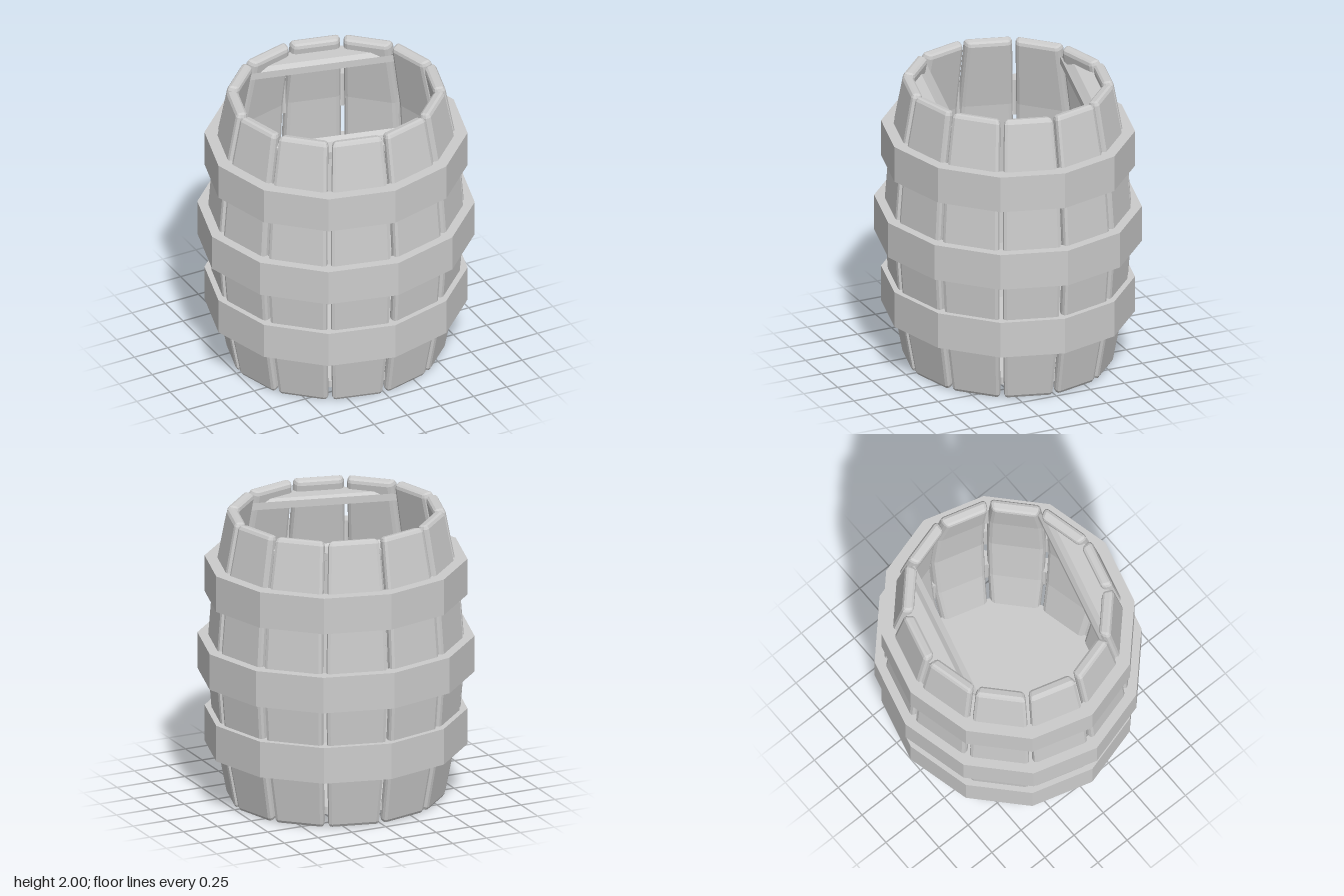
import * as THREE from 'three';

const material = new THREE.MeshStandardMaterial({ color: 0xcccccc, flatShading: true });
const SIDES = 12;
const STEP = (Math.PI * 2) / SIDES;
const DEPTH = 0.942; // the plan is an ellipse, narrower from front to back

// Skin a row of equal-sized point rings and close both ends with fans.
function loft(rings) {
  const n = rings[0].length, pos = [], idx = [];
  rings.forEach(ring => ring.forEach(p => pos.push(...p)));
  for (let k = 0; k < rings.length - 1; k++) {
    for (let i = 0; i < n; i++) {
      const a = k * n + i, b = k * n + (i + 1) % n;
      idx.push(a, b, b + n, a, b + n, a + n);
    }
  }
  const cap = (k, flip) => {
    const c = pos.length / 3;
    pos.push(...[0, 1, 2].map(j => rings[k].reduce((s, p) => s + p[j], 0) / n));
    for (let i = 0; i < n; i++) {
      const a = k * n + i, b = k * n + (i + 1) % n;
      idx.push(c, flip ? b : a, flip ? a : b);
    }
  };
  cap(0, true);
  cap(rings.length - 1, false);
  const g = new THREE.BufferGeometry();
  g.setAttribute('position', new THREE.Float32BufferAttribute(pos, 3));
  g.setIndex(idx);
  const flat = g.toNonIndexed();
  flat.computeVertexNormals();
  return flat;
}

// Outer corner radius of the staves at each height.
const PROFILE = [[0, 0.74], [0.5, 0.838], [1, 0.878], [1.5, 0.838], [2, 0.74]];
function bulge(y) {
  const i = Math.min(3, Math.floor(y / 0.5));
  const [y0, r0] = PROFILE[i], [y1, r1] = PROFILE[i + 1];
  return r0 + (r1 - r0) * (y - y0) / (y1 - y0);
}

// One bowed stave facing +z: rounded sections, wedge-shaped toward the axis,
// with ends square to the bow (tilt leans the end sections).
function staveGeometry() {
  const half = 0.041, gap = 0.013, round = 0.028;
  const section = (y, inset, tilt) => {
    const mid = bulge(y) * Math.cos(STEP / 2) - half;
    const w = mid * Math.tan(STEP / 2) - gap;
    const r = round - inset, pts = [];
    for (let c = 0; c < 4; c++) {
      const sx = c === 0 || c === 3 ? 1 : -1, sv = c < 2 ? -1 : 1;
      for (let s = 0; s <= 2; s++) {
        const a = (c + s / 2) * Math.PI / 2;
        const u = sx * (w - round) + r * Math.cos(a);
        const v = mid + sv * (half - round) - r * Math.sin(a);
        const lean = tilt * (mid + half - round - v);
        pts.push([u * (v * Math.tan(STEP / 2) - gap) / w, y + lean, v]);
      }
    }
    return pts;
  };
  const rim = [0.1, 0.5, 1].map(t => {
    const a = t * Math.PI / 2;
    return [t < 0.2 ? 0 : round * (1 - Math.cos(a)), round * (1 - Math.sin(a))];
  });
  return loft([
    ...rim.map(([y, e]) => section(y, e, 0.2)),
    ...[0.5, 1, 1.5].map(y => section(y, 0, 0)),
    ...rim.reverse().map(([y, e]) => section(2 - y, e, -0.2)),
  ]);
}

// Flat-sided hoop with a rectangular section.
function hoopGeometry(inner, outer, y0, y1) {
  const p = [[inner, y0], [outer, y0], [outer, y1], [inner, y1], [inner, y0]];
  return new THREE.LatheGeometry(p.map(([x, y]) => new THREE.Vector2(x, y)), SIDES);
}

// Remaining side board of the lid, grooved along its inner edge.
function lidBoardGeometry() {
  const rows = [[0.69, 1.87], [0.472, 1.87], [0.472, 1.92], [0.508, 1.89], [0.543, 1.92], [0.69, 1.92]];
  const end = s => rows.map(([d, y]) => [s * Math.sqrt(0.71 ** 2 - d * d), y, d]);
  return loft([end(-1), end(1)]);
}

export function createModel() {
  const model = new THREE.Group();
  model.name = 'barrel';
  const add = (name, geometry, turn = 0) => {
    const shaped = geometry.clone().rotateY(turn).scale(1, 1, DEPTH);
    const mesh = new THREE.Mesh(shaped, material);
    mesh.name = name;
    model.add(mesh);
  };

  // Staves
  const stave = staveGeometry();
  for (let i = 0; i < SIDES; i++) add('stave', stave, (i + 0.5) * STEP);

  // Hoops
  add('lowerHoop', hoopGeometry(0.78, 0.886, 0.36, 0.61));
  add('middleHoop', hoopGeometry(0.83, 0.934, 0.87, 1.12));
  add('upperHoop', hoopGeometry(0.78, 0.886, 1.41, 1.66));

  // Base, recessed between the staves
  add('base', new THREE.CylinderGeometry(0.71, 0.71, 0.05, SIDES).translate(0, 0.115, 0));

  // Lid boards on opposite sides of the open top
  const board = lidBoardGeometry();
  for (const turn of [0, Math.PI]) add('lidBoard', board, turn - STEP / 2);

  return model;
}
